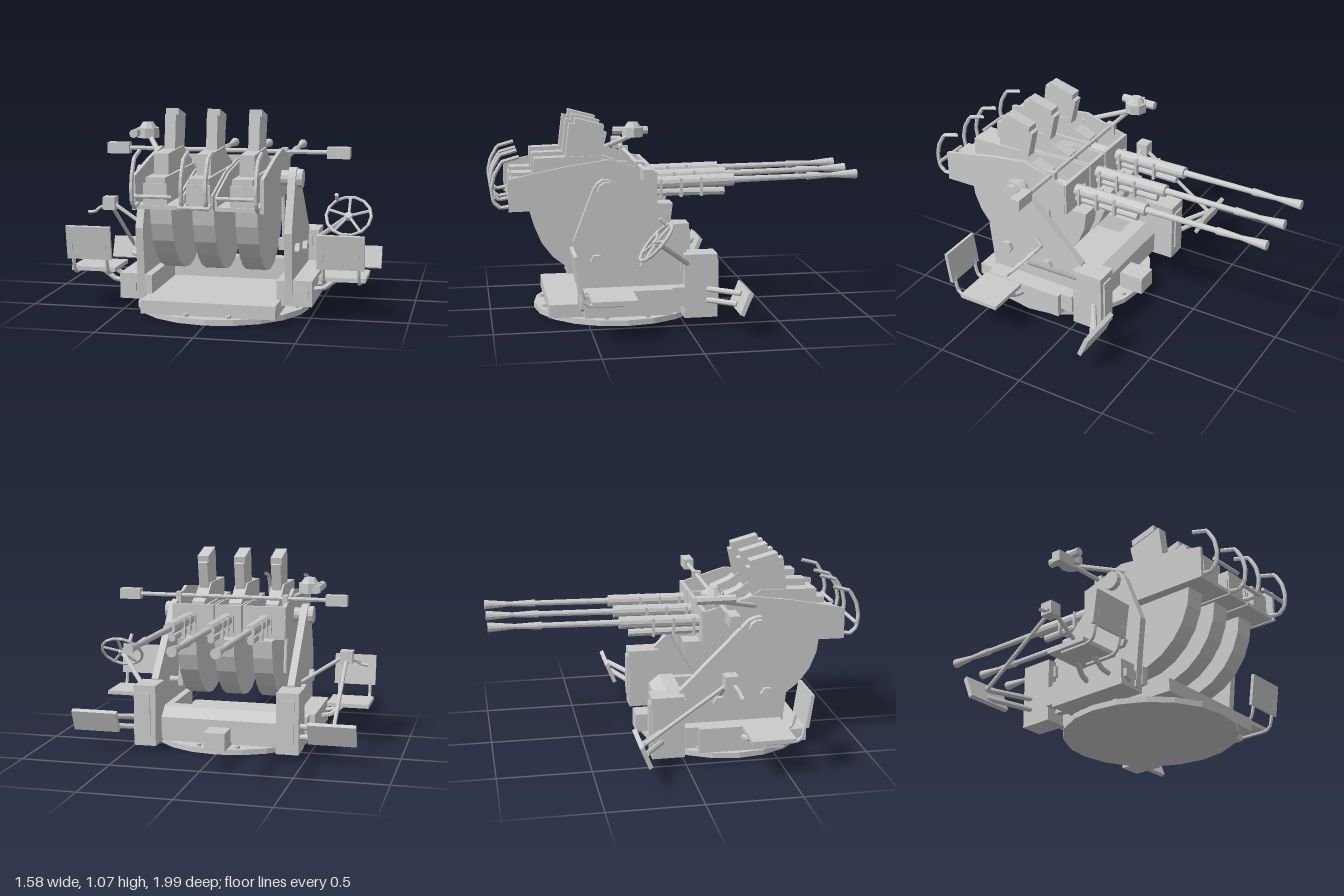
import * as THREE from 'three';

const grey = new THREE.MeshStandardMaterial({ color: 0xcccccc, flatShading: true, side: THREE.DoubleSide });
const V = (a) => new THREE.Vector3(...a);

function add(parent, name, geometry) {
  const mesh = new THREE.Mesh(geometry, grey);
  mesh.name = name;
  parent.add(mesh);
  return mesh;
}

// box from its minimum and maximum corners
function box(parent, name, [x0, x1], [y0, y1], [z0, z1]) {
  const g = new THREE.BoxGeometry(x1 - x0, y1 - y0, z1 - z0);
  g.translate((x0 + x1) / 2, (y0 + y1) / 2, (z0 + z1) / 2);
  return add(parent, name, g);
}

// round bar between two points
function rod(parent, name, from, to, r0, r1 = r0, sides = 8) {
  const a = V(from), b = V(to), d = b.clone().sub(a);
  const mesh = add(parent, name, new THREE.CylinderGeometry(r1, r0, d.length(), sides));
  mesh.position.copy(a).add(b).multiplyScalar(0.5);
  mesh.quaternion.setFromUnitVectors(new THREE.Vector3(0, 1, 0), d.normalize());
  return mesh;
}

// bent bar through several points
function bentRod(parent, name, points, r) {
  const path = new THREE.CurvePath();
  for (let i = 1; i < points.length; i++) path.add(new THREE.LineCurve3(V(points[i - 1]), V(points[i])));
  return add(parent, name, new THREE.TubeGeometry(path, (points.length - 1) * 4, r, 6));
}

// plate with a (z, y) outline, spanning x0 to x1
function plate(parent, name, outline, x0, x1) {
  const shape = new THREE.Shape(outline.map(([z, y]) => new THREE.Vector2(z, y)));
  const g = new THREE.ExtrudeGeometry(shape, { depth: x1 - x0, bevelEnabled: false });
  g.rotateY(-Math.PI / 2).translate(x1, 0, 0);
  return add(parent, name, g);
}

function group(parent, name) {
  const g = new THREE.Group();
  g.name = name;
  parent.add(g);
  return g;
}

function buildBase(root) {
  const base = group(root, 'base');
  const disc = new THREE.CylinderGeometry(0.46, 0.46, 0.03, 20);
  add(base, 'turntable', disc.translate(0, 0.015, 0.3));
  for (let i = 0; i < 12; i++) {
    const a = (i + 0.5) * Math.PI / 6, x = 0.425 * Math.sin(a), z = 0.3 + 0.425 * Math.cos(a);
    rod(base, 'turntableBolt', [x, 0.03, z], [x, 0.045, z], 0.015, 0.015, 6);
  }
  box(base, 'deck', [-0.35, 0.35], [0.03, 0.1], [-0.04, 0.7]);
  plate(base, 'rearBlock', [[0.08, 0.1], [0.08, 0.22], [0, 0.22], [-0.06, 0.17], [-0.06, 0.05], [0.08, 0.05]], -0.34, 0.34);
  box(base, 'rearLug', [-0.06, 0.06], [0.03, 0.13], [-0.2, -0.04]);
}

// everything that is the same on both sides, s = 1 for left and -1 for right
function buildSide(root, s) {
  const side = group(root, s > 0 ? 'leftSide' : 'rightSide');
  const X = (a, b) => (s > 0 ? [a, b] : [-b, -a]);

  // carriage wall with rounded top
  const outline = [[0.54, 0.08], [0.55, 0.22], [0.575, 0.45], [0.47, 0.72], [0.45, 0.75], [0.42, 0.77],
    [0.38, 0.765], [0.35, 0.75], [-0.02, 0.38], [-0.02, 0.08]];
  plate(side, 'carriageWall', outline, ...X(0.37, 0.41));
  box(side, 'wallFoot', X(0.33, 0.37), [0.1, 0.2], [0, 0.55]);
  rod(side, 'trunnion', [s * 0.32, 0.71, 0.4], [s * 0.4, 0.71, 0.4], 0.04, 0.04, 12);
  rod(side, 'trunnionCap', [s * 0.41, 0.71, 0.4], [s * 0.44, 0.71, 0.4], 0.05, 0.05, 10);
  for (const [z, y] of [[0.455, 0.345], [0.195, 0.31]])
    rod(side, 'wallBolt', [s * 0.4, y, z], [s * 0.435, y, z], 0.037, 0.037, 6);

  // lower housing and rear box
  box(side, 'lowerHousing', X(0.35, 0.51), [0.065, 0.2], [0.07, 0.53]);
  box(side, 'housingLink', X(0.35, 0.48), [0.1, 0.2], [0, 0.07]);
  rod(side, 'housingBolt', [s * 0.455, 0.13, 0.52], [s * 0.455, 0.13, 0.548], 0.042, 0.042, 6);
  box(side, 'rearBox', X(0.34, 0.465), [0.03, 0.37], [-0.175, 0]);
  box(side, 'rearBoxCover', X(0.37, 0.44), [0.09, 0.33], [-0.185, -0.17]);
  box(side, 'rearBoxLatch', X(0.4, 0.43), [0.28, 0.34], [0, 0.015]);

  // seat
  const seat = group(side, 'seat');
  box(seat, 'seatPan', X(0.54, 0.78), [0.2, 0.222], [0.29, 0.52]);
  plate(seat, 'seatBack', [[0.565, 0.28], [0.59, 0.455], [0.608, 0.452], [0.583, 0.276]], ...X(0.54, 0.78));
  for (const x of [0.57, 0.75])
    bentRod(seat, 'seatBackStay', [[s * x, 0.195, 0.36], [s * x, 0.195, 0.53], [s * x, 0.22, 0.56], [s * x, 0.36, 0.588]], 0.01);
  bentRod(seat, 'seatArm', [[s * 0.49, 0.14, 0.45], [s * 0.56, 0.15, 0.45], [s * 0.62, 0.195, 0.45]], 0.014);
  bentRod(seat, 'seatArm', [[s * 0.49, 0.14, 0.3], [s * 0.56, 0.15, 0.32], [s * 0.62, 0.195, 0.34]], 0.014);

  // foot rest on two struts
  plate(side, 'footRest', [[-0.225, 0.125], [-0.245, 0.115], [-0.293, 0.23], [-0.272, 0.242]], ...X(0.53, 0.79));
  rod(side, 'footRestStrut', [s * 0.45, 0.12, -0.12], [s * 0.67, 0.15, -0.24], 0.015);
  rod(side, 'footRestStrut', [s * 0.45, 0.18, -0.12], [s * 0.67, 0.205, -0.26], 0.015);

  // rod dropping from the cradle
  rod(side, 'elevatingRod', [s * 0.31, 0.63, 0.25], [s * 0.31, s > 0 ? 0.32 : 0.4, 0.22], 0.011);
}

function buildControls(root) {
  // tilted handwheel on the left
  const wheel = group(root, 'handwheel');
  wheel.position.set(0.65, 0.485, 0.18);
  wheel.rotation.x = -Math.PI / 2 + 0.84;
  add(wheel, 'wheelRim', new THREE.TorusGeometry(0.12, 0.009, 6, 14));
  for (let i = 0; i < 5; i++) {
    const a = Math.PI / 2 + i * Math.PI * 0.4;
    rod(wheel, 'wheelSpoke', [0, 0, 0], [0.12 * Math.cos(a), 0.12 * Math.sin(a), 0], 0.008, 0.008, 6);
  }
  rod(wheel, 'wheelHub', [0, 0, -0.02], [0, 0, 0.012], 0.02);
  rod(wheel, 'wheelKnob', [-0.07, 0.1, 0], [-0.07, 0.1, 0.05], 0.011);
  rod(root, 'wheelShaft', [0.65, 0.485, 0.18], [0.44, 0.31, -0.03], 0.014);
  rod(root, 'elevatingGear', [0.285, 0.33, 0.22], [0.37, 0.33, 0.22], 0.018);
  box(root, 'elevatingGearHousing', [0.285, 0.315], [0.3, 0.36], [0.19, 0.25]);

  // firing linkage on the right
  box(root, 'pedalLinkBox', [-0.7, -0.63], [0.48, 0.55], [0.16, 0.23]);
  rod(root, 'pedalLinkRod', [-0.665, 0.5, 0.18], [-0.665, 0.2, -0.25], 0.011);
  bentRod(root, 'pedalLinkHandle', [[-0.67, 0.51, 0.2], [-0.72, 0.49, 0.22], [-0.74, 0.47, 0.23], [-0.78, 0.465, 0.23]], 0.01);
  rod(root, 'pedalLinkArm', [-0.64, 0.51, 0.2], [-0.4, 0.35, 0.2], 0.011);
}

function buildCradle(root) {
  const cradle = group(root, 'cradle');
  // tall outer cheeks
  const cheek = [[0.9, 0.6], [0.9, 0.77], [0.6, 0.83], [0.38, 0.86], [0.13, 0.785], [0.13, 0.61]];
  for (const x of [-0.328, 0.31]) plate(cradle, 'outerCheek', cheek, x, x + 0.018);
  const inner = [[0.89, 0.61], [0.89, 0.68], [0.6, 0.76], [0.3, 0.79], [0.125, 0.79], [0.125, 0.61]];
  // one open trough for each gun
  for (const [x0, x1] of [[-0.325, -0.085], [-0.075, 0.075], [0.085, 0.325]]) {
    box(cradle, 'troughFloor', [x0, x1], [0.605, 0.625], [0.125, 0.89]);
    box(cradle, 'troughWall', [x0, x1], [0.61, 0.79], [0.12, 0.14]);
    if (x0 > -0.3) plate(cradle, 'troughSide', inner, x0, x0 + 0.01);
    if (x1 < 0.3) plate(cradle, 'troughSide', inner, x1 - 0.01, x1);
  }
  // grab rails at the breech end
  for (const x of [-0.305, -0.06, 0.06, 0.305])
    bentRod(cradle, 'grabRail', [[x, 0.63, 0.87], [x, 0.62, 0.94], [x, 0.65, 0.975], [x, 0.72, 0.985],
      [x, 0.79, 0.97], [x, 0.86, 0.93], [x, 0.885, 0.84]], 0.011);
  for (const [x0, x1, y] of [[-0.315, -0.11, 0.68], [-0.08, 0.08, 0.63], [0.11, 0.315, 0.68]])
    rod(cradle, 'crossHandle', [x0, y, 0.97], [x1, y, 0.97], 0.01);

  // sight bar with end boxes
  rod(cradle, 'sightBar', [-0.56, 0.825, 0.215], [0.56, 0.825, 0.215], 0.012);
  for (const s of [-1, 1]) {
    box(cradle, 'sightBarEnd', s > 0 ? [0.54, 0.66] : [-0.66, -0.54], [0.795, 0.855], [0.19, 0.245]);
    box(cradle, 'sightBarLug', s > 0 ? [0.295, 0.325] : [-0.325, -0.295], [0.78, 0.845], [0.19, 0.24]);
  }

  // aiming sight on its arm
  rod(cradle, 'sightArm', [-0.315, 0.805, 0.41], [-0.45, 0.885, 0.14], 0.014);
  rod(cradle, 'sightBody', [-0.46, 0.875, 0.14], [-0.46, 0.93, 0.14], 0.062, 0.062, 8);
  rod(cradle, 'sightCap', [-0.46, 0.93, 0.14], [-0.46, 0.96, 0.14], 0.05, 0.03, 8);
  rod(cradle, 'sightTube', [-0.512, 0.905, 0.045], [-0.512, 0.905, 0.25], 0.024);
}

function buildGun(root, x) {
  const gun = group(root, 'gun');
  gun.position.x = x;
  // half-disc elevating guide beneath the cradle
  const arc = [];
  for (let i = 0; i <= 12; i++) {
    const a = Math.PI * (1 + i / 12);
    arc.push([0.405 + 0.375 * Math.cos(a), 0.61 + 0.38 * Math.sin(a)]);
  }
  plate(gun, 'elevatingGuide', arc, -0.055, 0.055);

  // receiver and magazine
  box(gun, 'receiver', [-0.05, 0.05], [0.62, 0.76], [0.28, 0.87]);
  plate(gun, 'receiverCover', [[0.76, 0.74], [0.76, 0.865], [0.45, 0.873], [0.38, 0.82], [0.28, 0.78], [0.28, 0.74]], -0.037, 0.037);
  box(gun, 'receiverEndPlate', [-0.06, 0.06], [0.625, 0.73], [0.865, 0.88]);
  plate(gun, 'magazine', [[0.6, 0.83], [0.573, 1.045], [0.376, 0.993], [0.42, 0.8]], -0.028, 0.028);
  plate(gun, 'magazineCap', [[0.545, 1.036], [0.54, 1.072], [0.39, 1.032], [0.396, 0.996]], -0.033, 0.033);

  // barrel, rising slightly towards the muzzle
  const p = (z, dy = 0) => [0, 0.714 - 0.018 * z + dy, z];
  const tube = (name, z0, z1, r0, r1 = r0) => rod(gun, name, p(z0), p(z1), r0, r1, 12);
  tube('barrelJacket', 0.3, -0.31, 0.034);
  tube('barrel', -0.3, -0.72, 0.018, 0.015);
  tube('barrelCollar', -0.72, -0.85, 0.021, 0.014);
  tube('flashHider', -0.85, -1, 0.013, 0.027);
  rod(gun, 'recoilCylinder', p(0.13, -0.05), p(-0.26, -0.058), 0.021);
  for (const z of [0.09, -0.02, -0.13]) {
    const [, y] = p(z);
    box(gun, 'barrelBand', [-0.039, 0.039], [y - 0.074, y + 0.025], [z - 0.007, z + 0.007]);
  }
}

export function createModel() {
  const root = new THREE.Group();
  root.name = 'tripleGunMount';
  buildBase(root);
  for (const s of [1, -1]) buildSide(root, s);
  buildControls(root);
  buildCradle(root);
  for (const x of [-0.217, 0, 0.217]) buildGun(root, x);
  return root;
}
